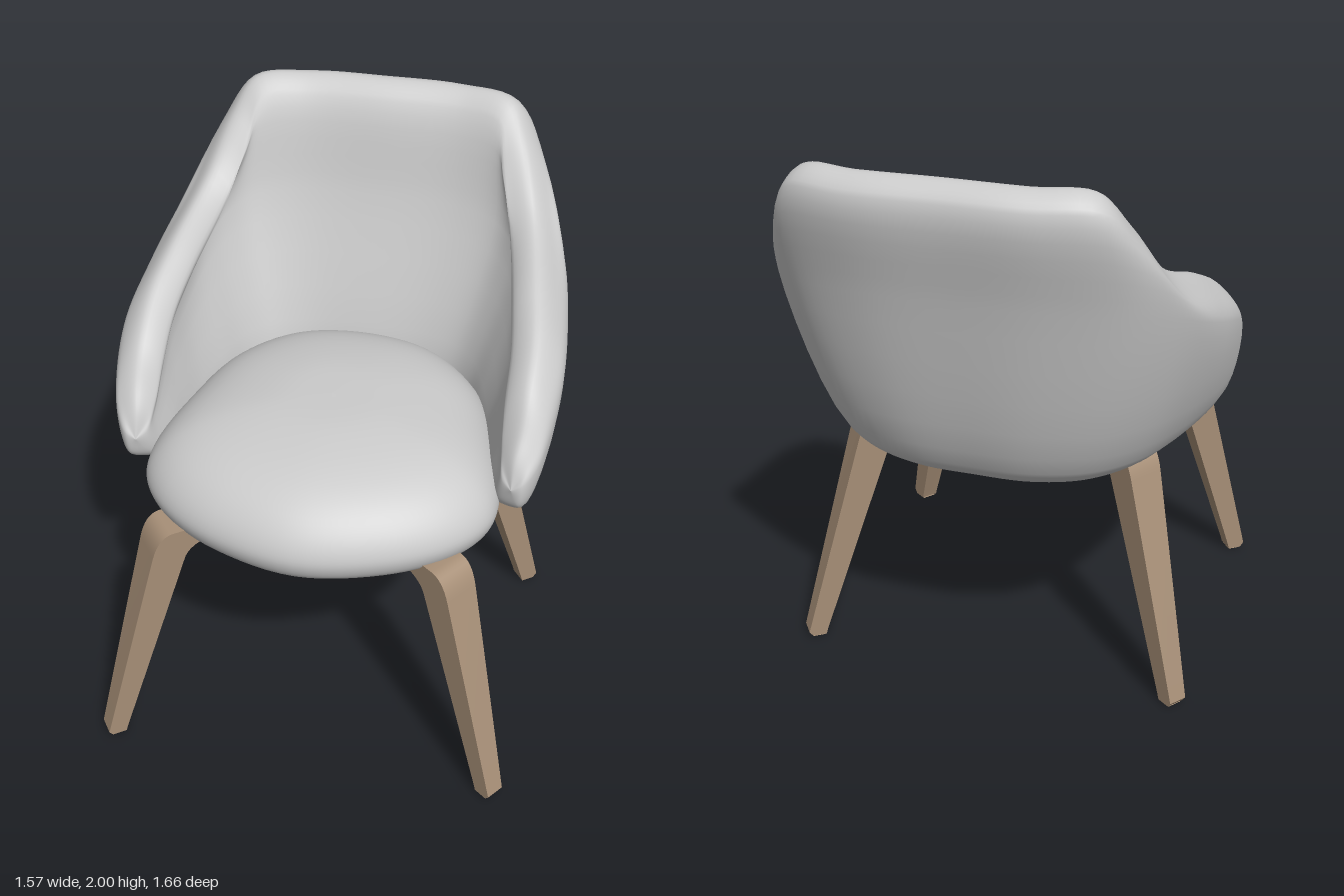
import * as THREE from 'three';
import { toCreasedNormals } from 'three/addons/utils/BufferGeometryUtils.js';

const V = (x, y, z) => new THREE.Vector3(x, y, z);
const material = (name, color) => {
  const m = new THREE.MeshStandardMaterial({ color });
  m.name = name;
  return m;
};

// Smooth skin over a grid of points rows[i][j]; either direction may wrap round.
function skin(rows, wrapI, wrapJ) {
  const ni = rows.length, nj = rows[0].length, index = [];
  for (let i = 0; i < (wrapI ? ni : ni - 1); i++) {
    for (let j = 0; j < (wrapJ ? nj : nj - 1); j++) {
      const i2 = (i + 1) % ni, j2 = (j + 1) % nj;
      const a = i * nj + j, b = i * nj + j2, c = i2 * nj + j2, d = i2 * nj + j;
      index.push(a, b, d, b, c, d);
    }
  }
  const g = new THREE.BufferGeometry().setFromPoints(rows.flat());
  g.setIndex(index);
  g.computeVertexNormals();
  return g;
}

const sample = (points, closed, n) => {
  const curve = new THREE.CatmullRomCurve3(points, closed, 'centripetal');
  return Array.from({ length: closed ? n : n + 1 }, (_, k) => curve.getPoint(k / n));
};

// Backrest and arms: sections from the middle of the back to the arm tip.
// Each has bottom, crease and rim points, outward angle in degrees, half thickness.
const STATIONS = [
  [[0, 0.87, -0.46], [0, 1.6, -0.665], [0, 2.0, -0.74], 0, 0.085],
  [[0.2, 0.87, -0.45], [0.3, 1.6, -0.65], [0.28, 1.997, -0.735], 6, 0.085],
  [[0.36, 0.875, -0.39], [0.5, 1.58, -0.58], [0.47, 1.985, -0.68], 30, 0.085],
  [[0.47, 0.885, -0.28], [0.6, 1.55, -0.47], [0.535, 1.87, -0.585], 55, 0.085],
  [[0.54, 0.895, -0.12], [0.66, 1.48, -0.32], [0.6, 1.68, -0.42], 72, 0.085],
  [[0.59, 0.91, 0.03], [0.69, 1.4, -0.12], [0.65, 1.56, -0.13], 82, 0.085],
  [[0.62, 0.925, 0.15], [0.7, 1.33, 0.07], [0.675, 1.475, 0.05], 90, 0.085],
  [[0.635, 0.94, 0.25], [0.69, 1.23, 0.22], [0.675, 1.365, 0.21], 97, 0.08],
  [[0.645, 0.96, 0.32], [0.675, 1.14, 0.32], [0.67, 1.245, 0.3], 105, 0.065],
  [[0.655, 1.0, 0.365], [0.66, 1.1, 0.372], [0.66, 1.17, 0.352], 110, 0.04],
  [[0.66, 1.08, 0.388], [0.66, 1.08, 0.388], [0.66, 1.08, 0.388], 110, 0],
];

function sectionPoints([b, m, t, angle, h]) {
  const a = THREE.MathUtils.degToRad(angle);
  const n = V(Math.sin(a), 0, -Math.cos(a));
  const B = V(...b), M = V(...m), T = V(...t);
  const low = B.clone().lerp(M, 0.1), high = T.clone().add(V(0, -0.7 * h, 0));
  const side = (p, k) => p.clone().addScaledVector(n, k * h);
  return [B, side(low, 0.9), side(M, 1), side(high, 0.9), T, side(high, -0.9), side(M, -1), side(low, -0.95)];
}

function shellGeometry() {
  const half = STATIONS.map(sectionPoints);
  const mirrored = half.slice(1).reverse().map((s) => s.map((p) => V(-p.x, p.y, p.z)));
  const all = [...mirrored, ...half];
  const rails = half[0].map((_, j) => sample(all.map((s) => s[j]), false, 120));
  const rows = rails[0].map((_, i) => sample(rails.map((r) => r[i]), true, 48));
  return skin(rows, false, true);
}

// Seat cushion: rounded plan outline scaled through a domed profile.
function seatGeometry() {
  const half = [[0.3, 0.72], [0.5, 0.6], [0.6, 0.47], [0.622, 0.35], [0.58, 0.1], [0.48, -0.2], [0.28, -0.4]];
  const plan = [[0, 0.79], ...half, [0, -0.46], ...half.slice().reverse().map(([x, z]) => [-x, z])];
  const outline = sample(plan.map(([x, z]) => V(x, 0, z)), true, 96);
  const profile = sample([[0, 1.23], [0.35, 1.222], [0.7, 1.175], [0.88, 1.11], [0.975, 1.035], [1, 0.975],
    [0.97, 0.915], [0.88, 0.87], [0.7, 0.848], [0, 0.83]].map(([s, y]) => V(s, y, 0)), false, 40);
  const cz = 0.17;
  const rows = outline.map((o) => profile.map((p) => V(o.x * p.x, p.y, cz + (o.z - cz) * p.x)));
  return skin(rows, true, false);
}

// Leg: bent side profile, its width growing from foot to knee.
function legGeometry() {
  const s = new THREE.Shape();
  s.moveTo(-0.03, 0.006);
  s.lineTo(0.022, 0.006);
  s.lineTo(0.036, 0.025);
  s.lineTo(-0.19, 0.84);
  s.quadraticCurveTo(-0.215, 0.93, -0.27, 0.93);
  s.lineTo(-0.33, 0.93);
  s.lineTo(-0.44, 0.905);
  s.lineTo(-0.44, 0.87);
  s.quadraticCurveTo(-0.32, 0.87, -0.3, 0.79);
  s.lineTo(-0.037, 0.03);
  s.closePath();
  const g = new THREE.ExtrudeGeometry(s, { depth: 1, bevelEnabled: false, curveSegments: 8 });
  g.translate(0, 0, -0.5);
  const p = g.attributes.position;
  for (let i = 0; i < p.count; i++) p.setZ(i, p.getZ(i) * (0.068 + 0.075 * p.getY(i)));
  return toCreasedNormals(g, 0.5);
}

export function createModel() {
  const fabric = material('grey fabric', 0xcbcbcb);
  const wood = material('wood', 0xa89078);
  const pad = material('pale glide', 0xd6b896);
  const chair = new THREE.Group();
  chair.name = 'armchair';
  const add = (parent, name, geometry, mat) => {
    const mesh = new THREE.Mesh(geometry, mat);
    mesh.name = name;
    parent.add(mesh);
    return mesh;
  };

  add(chair, 'backrestAndArms', shellGeometry(), fabric);
  add(chair, 'seatCushion', seatGeometry(), fabric);

  // Four splayed legs with floor glides.
  const leg = legGeometry();
  const glide = new THREE.BoxGeometry(0.045, 0.008, 0.055).translate(-0.004, 0.004, 0);
  for (const sz of [1, -1]) {
    for (const sx of [1, -1]) {
      const group = new THREE.Group();
      group.name = (sz > 0 ? 'front' : 'back') + (sx > 0 ? 'Left' : 'Right') + 'Leg';
      add(group, 'legBody', leg, wood);
      add(group, 'footGlide', glide, pad);
      group.position.set(0.7 * sx, 0, 0.21 + 0.572 * sz);
      group.rotation.y = Math.atan2(-0.6 * sz, 0.8 * sx);
      chair.add(group);
    }
  }
  return chair;
}
